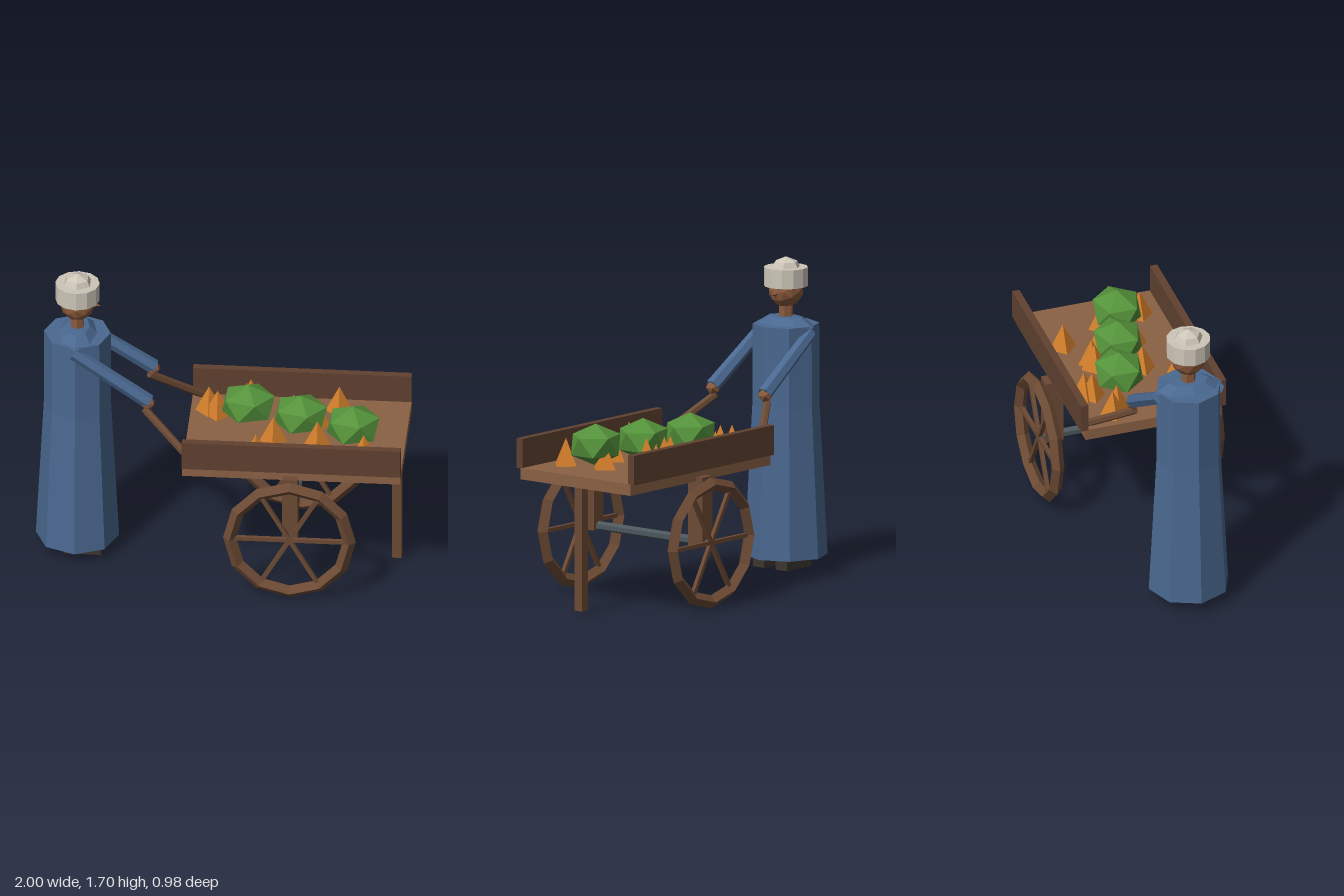
import * as THREE from 'three';

const mat = (name, color) => {
  const m = new THREE.MeshStandardMaterial({ color, flatShading: true });
  m.name = name;
  return m;
};

export function createModel() {
  const robe = mat('blue cloth', 0x4a6890), skin = mat('skin', 0x8a5a3c), cream = mat('cream cloth', 0xcdc6b8);
  const dark = mat('dark leather', 0x3c352e), bedWood = mat('light wood', 0x8a6144), boardWood = mat('dark wood', 0x604130);
  const frameWood = mat('frame wood', 0x6c4a34), iron = mat('iron', 0x4c575c);
  const green = mat('leaf green', 0x55933b), orange = mat('orange', 0xd07c2a);

  const model = new THREE.Group();
  model.name = 'vendorWithCart';
  const cart = new THREE.Group(), vendor = new THREE.Group();
  cart.name = 'cart';
  vendor.name = 'vendor';
  model.add(cart, vendor);

  const add = (parent, name, geo, material, x = 0, y = 0, z = 0) => {
    const m = new THREE.Mesh(geo, material);
    m.name = name;
    m.position.set(x, y, z);
    parent.add(m);
    return m;
  };
  // box given by its min and max corners
  const box = (parent, name, material, x0, x1, y0, y1, z0, z1) =>
    add(parent, name, new THREE.BoxGeometry(x1 - x0, y1 - y0, z1 - z0), material,
      (x0 + x1) / 2, (y0 + y1) / 2, (z0 + z1) / 2);
  // tapered rod between two points
  const rod = (parent, name, material, a, b, ra, rb, sides) => {
    const p = new THREE.Vector3(...a), q = new THREE.Vector3(...b);
    const m = add(parent, name, new THREE.CylinderGeometry(rb, ra, p.distanceTo(q), sides), material);
    m.position.copy(p).add(q).multiplyScalar(0.5);
    m.quaternion.setFromUnitVectors(new THREE.Vector3(0, 1, 0), q.sub(p).normalize());
    return m;
  };
  const lathe = (points, sides) =>
    new THREE.LatheGeometry(points.map(([r, y]) => new THREE.Vector2(r, y)), sides);

  // cart bed, front leg and axle
  box(cart, 'bed', bedWood, -0.18, 1, 0.7, 0.763, -0.385, 0.385);
  box(cart, 'frontLeg', frameWood, 0.925, 0.977, 0.02, 0.7, -0.026, 0.026);
  rod(cart, 'axle', iron, [0.405, 0.367, -0.455], [0.405, 0.367, 0.455], 0.025, 0.025, 6);

  for (const s of [-1, 1]) {
    const side = s > 0 ? 'left' : 'right';
    const span = (a, b) => (s > 0 ? [a, b] : [-b, -a]);
    box(cart, side + 'Board', boardWood, -0.18, 1, 0.76, 0.922, ...span(0.37, 0.412));
    box(cart, side + 'AxlePost', frameWood, 0.363, 0.447, 0.345, 0.725, ...span(0.33, 0.43));
    rod(cart, side + 'Handle', frameWood, [-0.4, 0.99, s * 0.18], [-0.13, 0.775, s * 0.35], 0.022, 0.022, 6);

    // wheel: diamond-section rim with six spokes
    const wheel = new THREE.Group();
    wheel.name = side + 'Wheel';
    wheel.position.set(0.405, 0.367, s * 0.455);
    cart.add(wheel);
    add(wheel, 'rim', new THREE.TorusGeometry(0.323, 0.036, 4, 12), frameWood);
    for (let i = 0; i < 3; i++) {
      const spoke = add(wheel, 'spokePair', new THREE.BoxGeometry(0.61, 0.022, 0.022), frameWood);
      spoke.rotation.z = i * Math.PI / 3;
    }
  }

  // cabbages: squashed icosahedra with a corner pointing up
  const cabbage = new THREE.IcosahedronGeometry(1, 0);
  cabbage.rotateZ(-Math.atan(2 / (1 + Math.sqrt(5))));
  cabbage.scale(0.16, 0.115, 0.145);
  for (const i of [-1, 0, 1]) add(cart, 'cabbage', cabbage, green, 0.43 + i * 0.29, 0.885, i * 0.09);

  // heap of pointed orange roots
  const root = new THREE.ConeGeometry(0.075, 0.15, 4);
  const spots = [[-0.08, -0.2], [-0.03, -0.16], [0.14, -0.29], [0.12, -0.25], [0.62, -0.25], [0.38, -0.15],
    [0.43, -0.15], [0.51, -0.09], [0.29, 0.09], [0.21, 0.28], [0.79, 0.24], [0.53, 0.12], [0.74, 0.01]];
  for (const [x, z] of spots) add(cart, 'root', root, orange, x, 0.84, z);

  // robe and shoulders
  vendor.position.x = -0.775;
  add(vendor, 'robe', lathe([[0, 0.08], [0.225, 0.08], [0.182, 0.9], [0.18, 1.347], [0, 1.347]], 8), robe);
  const shoulders = add(vendor, 'shoulders', lathe([[0.19, 1.34], [0.11, 1.385], [0, 1.39]], 8), robe);
  shoulders.scale.x = 0.6;

  // arms, hands and feet
  for (const s of [-1, 1]) {
    const side = s > 0 ? 'left' : 'right';
    rod(vendor, side + 'Arm', robe, [-0.01, 1.31, s * 0.163], [0.4, 1.035, s * 0.182], 0.036, 0.041, 6);
    add(vendor, side + 'Hand', new THREE.IcosahedronGeometry(0.042, 0), skin, 0.393, 1.03, s * 0.182);
    box(vendor, side + 'Foot', dark, -0.065, 0.135, 0.02, 0.1, s * 0.08 - 0.04, s * 0.08 + 0.04);
    box(vendor, side + 'Eye', dark, 0.08, 0.088, 1.545, 1.562, s * 0.034 - 0.011, s * 0.034 + 0.011);
  }

  // head facing the cart
  add(vendor, 'neck', new THREE.CylinderGeometry(0.04, 0.04, 0.12, 6), skin, 0, 1.41, 0);
  add(vendor, 'head', new THREE.IcosahedronGeometry(0.096, 1), skin, 0, 1.53, 0);
  const nose = add(vendor, 'nose', new THREE.ConeGeometry(0.026, 0.05, 4), skin, 0.1, 1.52, 0);
  nose.rotation.z = -Math.PI / 2 - 0.15;

  // wrapped hat with a low crown
  add(vendor, 'hatBand', new THREE.CylinderGeometry(0.12, 0.12, 0.103, 12), cream, 0, 1.604, 0);
  add(vendor, 'hatCrown', lathe([[0.085, 1.645], [0.065, 1.685], [0, 1.712]], 6), cream);

  return model;
}
